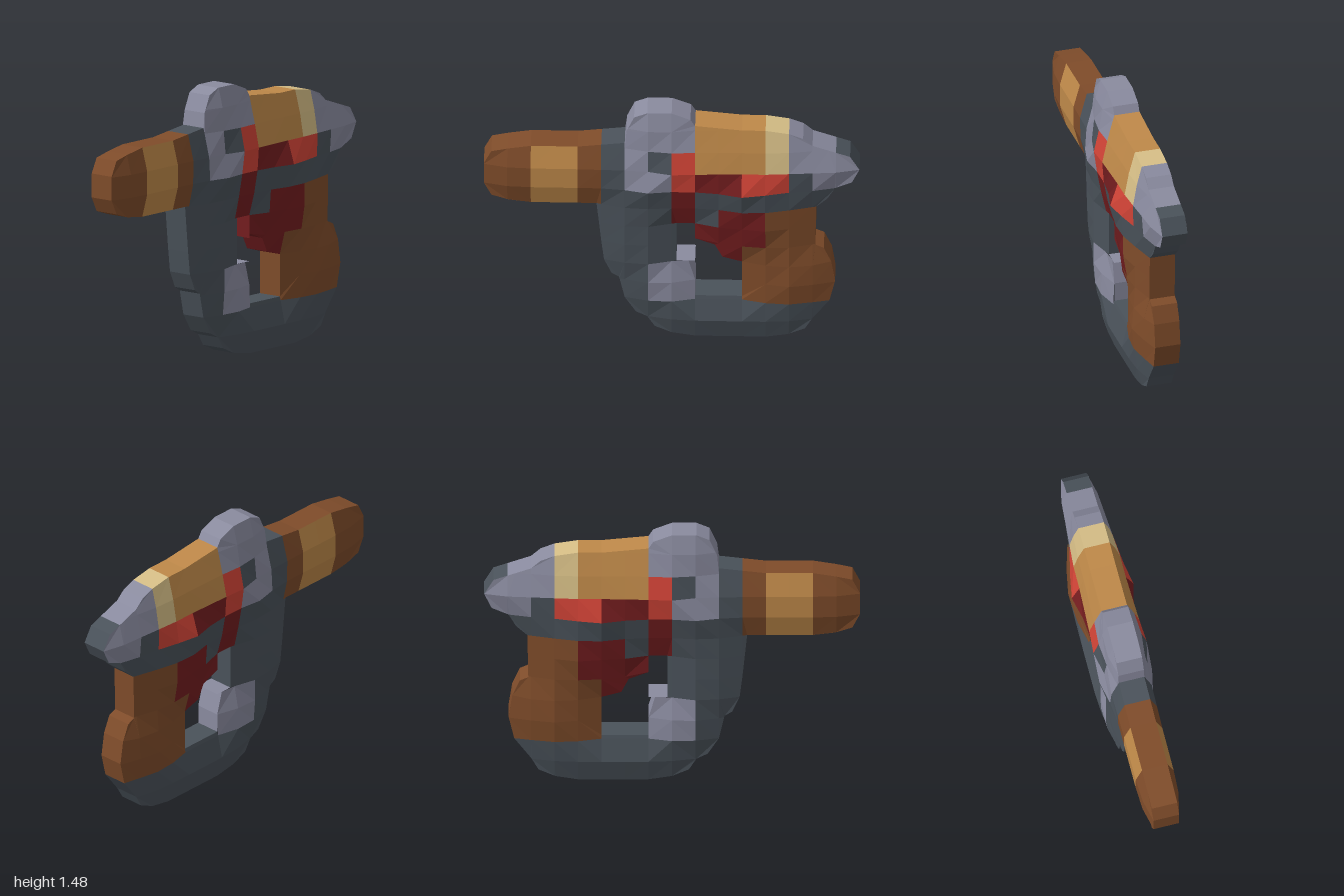
import * as THREE from 'three';

const material = (name, color) => Object.assign(new THREE.MeshStandardMaterial({ color }), { name });
const EDGE = 0.07, CELL = 0.125;

// Side profile in (z, y), counter-clockwise
const lowerFront = [[-.125, 0], [0, .02], [.09, .06], [.13, .125], [.19, .155], [.25, .25],
  [.28, .385], [.32, .41], [.36, .5], [.375, .625], [.4, .875]];
const handle = [[.75, .875], [.87, .89], [.96, .92], [1, 1], [1, 1.13], [.96, 1.21], [.87, 1.23],
  [.75, 1.25], [.5, 1.25]];
const top = [[.25, 1.28], [.24, 1.36], [.2, 1.45], [.13, 1.48], [0, 1.48], [-.1, 1.44], [-.125, 1.4],
  [-.375, 1.375], [-.5, 1.375], [-.625, 1.355], [-.7, 1.325], [-.75, 1.28]];
const rear = [[-.95, 1.21], [-1, 1.125], [-.96, 1.04], [-.87, 1], [-.83, .93], [-.77, .875],
  [-.765, .62], [-.81, .6], [-.85, .51], [-.87, .38], [-.84, .25], [-.75, .13], [-.71, .06],
  [-.62, .02], [-.5, 0]];
const outer = [...lowerFront, ...handle, ...top, ...rear];

// Trigger opening, clockwise
const opening = [[-.125, .27], [-.375, .27], [-.375, .5], [-.27, .53], [-.23, .61], [-.125, .65],
  [-.125, .75], [-.025, .75], [-.025, .5], [-.09, .5], [-.125, .375]];

const closedEdges = (loop) => loop.map((a, i) => [a, loop[(i + 1) % loop.length]]);
const rim = [...closedEdges(outer), ...closedEdges(opening)];
// The opening joins the outside through a slit of zero width
const profile = [...outer, outer[0], ...opening, opening[0]];

// Coloured blocks of the body in grid cells; later ones cover earlier ones
function describeRegions() {
  const frame = material('darkGrey', 0x4a525a);
  const light = material('lightGrey', 0x8a8b9f);
  const brown = material('brown', 0x7f4c2a);
  const ochre = material('ochre', 0xbf8949);
  const sand = material('sand', 0xd6be86);
  const red = material('red', 0xd04336);
  const darkRed = material('darkRed', 0x741d1f);
  const regions = [];
  const add = (name, mat, z0, z1, y0, y1, rimMat = mat) =>
    regions.push({ name, mat, rimMat, z0, z1, y0, y1 });
  add('frame', frame, -8, 8, 0, 12);
  add('frontHandle', brown, 3, 8, 7, 12);
  add('handleBand', ochre, 4, 6, 7, 12, brown);
  add('topHump', light, -1, 2, 8, 12);
  add('port', frame, 0, 1, 9, 10);
  add('upperRedPanel', red, -1, 0, 8, 10);
  add('topCover', ochre, -4, -1, 9, 12);
  add('coverBand', sand, -5, -4, 9, 12);
  add('middlePanel', darkRed, -3, -1, 8, 9);
  add('rearRedPanel', red, -5, -3, 8, 9);
  add('tailUpper', light, -8, -5, 9, 12);
  add('tailLower', light, -8, -6, 8, 9);
  add('tailTip', light, -8, -7, 8, 12, frame);
  add('redStrip', darkRed, -1, 0, 6, 8);
  add('lowerRedBlock', darkRed, -4, -2, 4, 7);
  add('lowerRedStep', darkRed, -2, -1, 4, 6);
  add('rearGrip', brown, -8, -4, 2, 7);
  add('rearGripFront', brown, -4, -3, 2, 5);
  add('innerLug', light, -1, 1, 2, 4);
  return regions;
}

// Distance from a point to an edge
function edgeDistance([z, y], [a, b]) {
  const dz = b[0] - a[0], dy = b[1] - a[1];
  const t = THREE.MathUtils.clamp(((z - a[0]) * dz + (y - a[1]) * dy) / (dz * dz + dy * dy), 0, 1);
  return Math.hypot(z - a[0] - t * dz, y - a[1] - t * dy);
}

const rimDistance = (p) => Math.min(...rim.map((e) => edgeDistance(p, e)));

// Half thickness grows with the distance from the rim
function halfThickness(p) {
  const steps = [EDGE, .105, .128, .178, .19];
  const s = Math.min(rimDistance(p) / CELL, 3.999), i = Math.floor(s);
  return THREE.MathUtils.lerp(steps[i], steps[i + 1], s - i);
}

// Keep the side of a polygon where sign * (p[axis] - limit) >= 0
function clip(points, axis, limit, sign) {
  const out = [];
  for (const [a, b] of closedEdges(points)) {
    const da = sign * (a[axis] - limit), db = sign * (b[axis] - limit);
    if (da >= 0) out.push(a);
    if ((da > 0 && db < 0) || (da < 0 && db > 0)) {
      const t = da / (da - db);
      out.push([a[0] + (b[0] - a[0]) * t, a[1] + (b[1] - a[1]) * t]);
    }
  }
  return out;
}

// The piece of the profile inside one grid cell
function cellPolygon(i, j) {
  const z = i * CELL, y = j * CELL;
  const column = clip(clip(profile, 0, z, 1), 0, z + CELL, -1);
  const cell = clip(clip(column, 1, y, 1), 1, y + CELL, -1);
  return closedEdges(cell)
    .filter(([a, b]) => Math.hypot(a[0] - b[0], a[1] - b[1]) > 1e-6)
    .map(([a]) => a);
}

// Both bulging side faces of a cell
function addSides(positions, cell) {
  const points = cell.map((p) => new THREE.Vector2(...p));
  for (const face of THREE.ShapeUtils.triangulateShape(points, [])) {
    const area = THREE.ShapeUtils.area(face.map((k) => points[k]));
    if (Math.abs(area) < 1e-8) continue;
    const tri = (area > 0 ? face : [...face].reverse()).map((k) => cell[k]);
    for (const p of tri) positions.push(-halfThickness(p), p[1], p[0]);
    for (const p of tri.reverse()) positions.push(halfThickness(p), p[1], p[0]);
  }
}

// Flat walls where a cell touches the rim, with the cell on their inner side
function addWalls(positions, cell, i, j) {
  const cz = (i + .5) * CELL, cy = (j + .5) * CELL;
  for (const [a, b] of closedEdges(cell)) {
    const mid = [(a[0] + b[0]) / 2, (a[1] + b[1]) / 2];
    const onRim = rimDistance(mid) < 1e-6;
    const onBorder = Math.abs(Math.abs(mid[0] - cz) - CELL / 2) < 1e-6
      || Math.abs(Math.abs(mid[1] - cy) - CELL / 2) < 1e-6;
    const inward = (b[0] - a[0]) * (cy - a[1]) - (b[1] - a[1]) * (cz - a[0]) > 0;
    if (!onRim || (onBorder && !inward)) continue;
    for (const [x, p] of [[-EDGE, a], [EDGE, a], [EDGE, b], [-EDGE, a], [EDGE, b], [-EDGE, b]]) {
      positions.push(x, p[1], p[0]);
    }
  }
}

function makeMesh(name, positions, mat) {
  const geometry = new THREE.BufferGeometry();
  geometry.setAttribute('position', new THREE.Float32BufferAttribute(positions, 3));
  geometry.computeVertexNormals();
  const mesh = new THREE.Mesh(geometry, mat);
  mesh.name = name;
  return mesh;
}

export function createModel() {
  const model = new THREE.Group();
  model.name = 'toyBlaster';
  const regions = describeRegions().map((r) => ({ ...r, sides: [], walls: [] }));
  for (let i = -8; i < 8; i++) for (let j = 0; j < 12; j++) {
    const cell = cellPolygon(i, j);
    if (cell.length < 3) continue;
    if (Math.abs(THREE.ShapeUtils.area(cell.map((p) => new THREE.Vector2(...p)))) < 1e-6) continue;
    const region = regions.findLast((r) => i >= r.z0 && i < r.z1 && j >= r.y0 && j < r.y1);
    addSides(region.sides, cell);
    addWalls(region.walls, cell, i, j);
  }
  for (const { name, mat, rimMat, sides, walls } of regions) {
    const group = new THREE.Group();
    group.name = name;
    group.add(makeMesh(name + 'Sides', sides, mat));
    if (walls.length) group.add(makeMesh(name + 'Rim', walls, rimMat));
    model.add(group);
  }
  return model;
}
